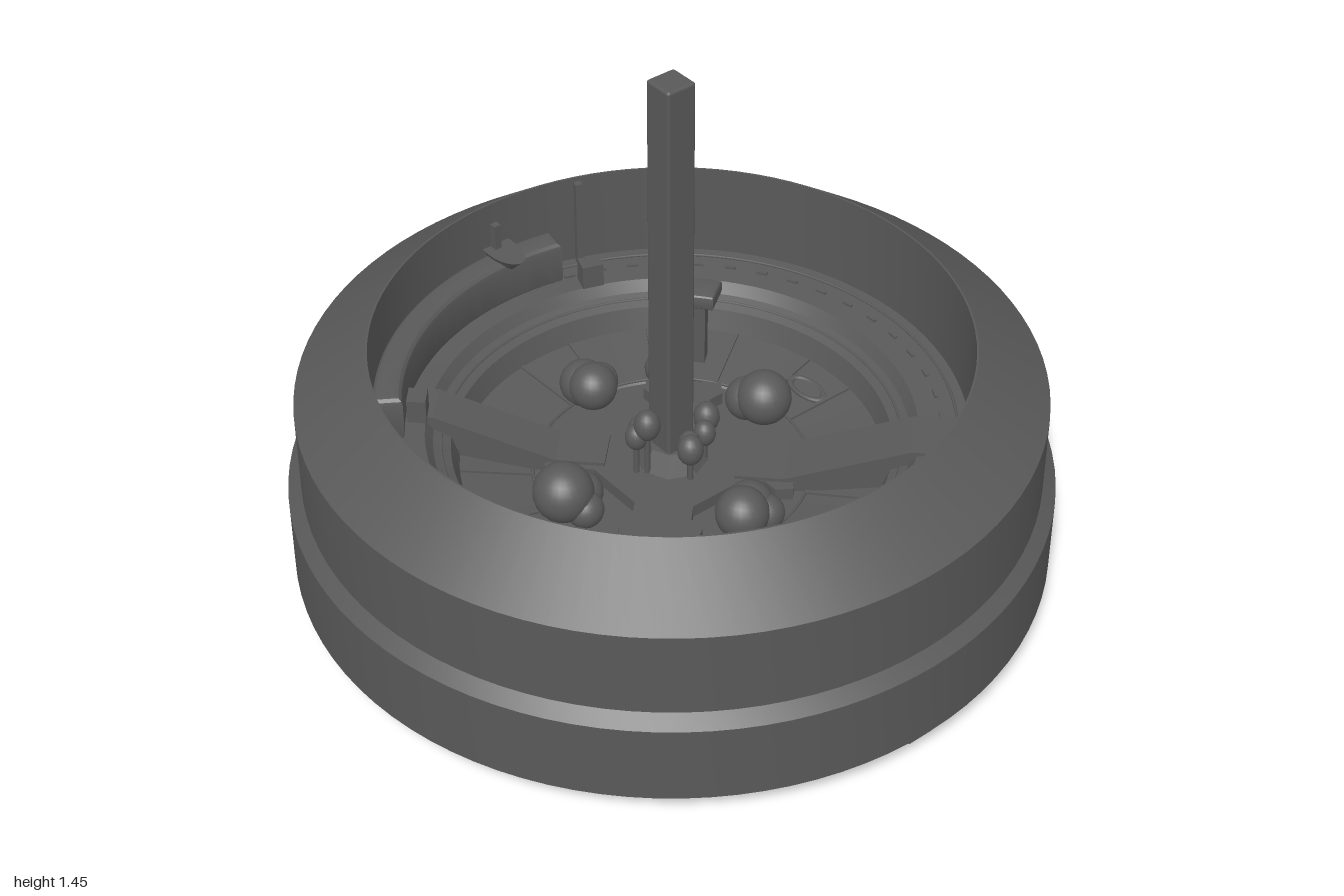
import * as THREE from 'three';
import { RoundedBoxGeometry } from 'three/addons/geometries/RoundedBoxGeometry.js';
import { toCreasedNormals } from 'three/addons/utils/BufferGeometryUtils.js';

const material = new THREE.MeshStandardMaterial({ color: 0x595959 });
const DEG = Math.PI / 180;

export function createModel() {
  const model = new THREE.Group();

  const add = (name, geometry, x = 0, y = 0, z = 0, rotY = 0) => {
    const mesh = new THREE.Mesh(geometry, material);
    mesh.name = name;
    mesh.position.set(x, y, z);
    mesh.rotation.y = rotY;
    model.add(mesh);
    return mesh;
  };

  // Place a part at a radius and angle (0 = +x, 90 = -z)
  const addAround = (name, geometry, r, deg, y) =>
    add(name, geometry, r * Math.cos(deg * DEG), y, -r * Math.sin(deg * DEG), deg * DEG);

  const polygon = (points) => new THREE.Shape(points.map(([x, y]) => new THREE.Vector2(x, y)));

  // Curved block between two radii and two angles
  const arcBlock = (name, r0, r1, a0, a1, y0, y1, bevel = 0) => {
    const s = new THREE.Shape();
    s.absarc(0, 0, r1, a0 * DEG, a1 * DEG, false);
    s.absarc(0, 0, r0, a1 * DEG, a0 * DEG, true);
    const g = new THREE.ExtrudeGeometry(s, {
      depth: y1 - y0, curveSegments: 24, bevelEnabled: bevel > 0,
      bevelSize: bevel, bevelThickness: bevel, bevelOffset: -bevel, bevelSegments: 3,
    });
    g.rotateX(-Math.PI / 2);
    return add(name, toCreasedNormals(g, 0.5), 0, y0, 0);
  };

  // Outer hull, inner wall and stepped floor in one closed profile
  const profile = [
    [0, 0.038], [0.962, 0.038], [0.965, 0.075], [1, 0.075], [1, 0.295],
    [0.965, 0.325], [0.965, 0.56], [0.775, 0.7], [0.77, 0.7],
    [0.77, 0.43], [0.64, 0.42], [0.62, 0.39], [0.575, 0.37], [0.555, 0.31],
    [0.37, 0.28], [0.36, 0.27], [0, 0.27],
  ].map(([r, y]) => new THREE.Vector2(r, y));
  add('hull', toCreasedNormals(new THREE.LatheGeometry(profile, 96), 0.35));

  // Slim raised lips on the floor rings
  for (const [r, y] of [[0.74, 0.43], [0.6, 0.38], [0.365, 0.28]]) {
    const g = new THREE.TorusGeometry(r, 0.004, 6, 96);
    g.rotateX(Math.PI / 2);
    add('floorRing', g, 0, y, 0);
  }

  // Floor spokes, four in each quarter
  for (let q = 0; q < 4; q++) {
    for (const d of [8.5, 32, 58, 81.5]) {
      const spoke = addAround('floorSpoke', new THREE.BoxGeometry(0.19, 0.01, 0.01), 0.46, q * 90 + d, 0.296);
      spoke.rotation.order = 'YXZ';
      spoke.rotation.z = 0.16;
    }
  }

  // Small studs around the ledge
  for (let i = 0; i < 48; i++) {
    addAround('ledgeStud', new THREE.BoxGeometry(0.01, 0.01, 0.03), 0.7, i * 7.5, 0.426);
  }

  // Two ramps running down from the ledge to the middle
  for (const [a, width] of [[135, 0.12], [-45, 0.15]]) {
    const s = polygon([[0.17, 0.27], [0.765, 0.3], [0.765, 0.437], [0.62, 0.43], [0.3, 0.315], [0.17, 0.315]]);
    const g = new THREE.ExtrudeGeometry(s, { depth: width, bevelEnabled: false });
    g.translate(0, 0, -width / 2);
    add('ramp', g, 0, 0, 0, a * DEG);
  }

  // Central platform with a bay cut towards each ball cluster
  const outline = [];
  for (let q = 0; q < 4; q++) {
    for (const [r, d] of [[0.21, -24], [0.21, 24], [0.26, 28], [0.3, 24], [0.34, 28], [0.34, 62], [0.3, 66], [0.26, 62]]) {
      const a = (q * 90 + d) * DEG;
      outline.push([Math.cos(a) * r, Math.sin(a) * r]);
    }
  }
  const platform = new THREE.ExtrudeGeometry(polygon(outline), { depth: 0.035, bevelEnabled: false });
  platform.rotateX(-Math.PI / 2);
  add('centralPlatform', platform, 0, 0.27, 0);
  add('pedestal', toCreasedNormals(new THREE.CylinderGeometry(0.065, 0.1, 0.06, 8), 0.3), 0, 0.33, 0);

  // Tall central post
  add('post', new RoundedBoxGeometry(0.086, 1.165, 0.086, 2, 0.008), -0.003, 0.8725, 0);

  // Four clusters of balls around the platform: x, y, z, radius
  for (const [x, y, z, r] of [
    [0, 0.32, -0.38, 0.065], [-0.005, 0.34, -0.33, 0.065], [0.04, 0.32, -0.36, 0.05],
    [0.3, 0.32, -0.05, 0.06], [0.32, 0.34, -0.005, 0.075], [0.35, 0.31, -0.03, 0.05],
    [-0.03, 0.34, 0.32, 0.07], [0.02, 0.32, 0.29, 0.065], [0.04, 0.31, 0.33, 0.05],
    [-0.34, 0.35, -0.02, 0.08], [-0.28, 0.32, -0.02, 0.055], [-0.31, 0.31, 0.03, 0.05],
  ]) add('ball', new THREE.SphereGeometry(r, 24, 16), x, y, z);

  // Small pods on stalks around the post: x, y, z, radius
  for (const [x, y, z, r] of [
    [0.05, 0.5, -0.12, 0.035], [0.08, 0.46, -0.11, 0.028], [0.1, 0.4, 0.02, 0.035],
    [0.06, 0.39, 0.06, 0.03], [-0.02, 0.4, 0.1, 0.035], [0.01, 0.38, 0.06, 0.03],
    [-0.09, 0.46, 0.01, 0.035], [-0.11, 0.42, -0.01, 0.03], [-0.06, 0.39, -0.06, 0.03],
  ]) {
    add('pod', new THREE.SphereGeometry(r, 16, 12), x, y, z).scale.y = 1.25;
    add('podStalk', new THREE.CylinderGeometry(0.008, 0.008, y - 0.28, 8), x, (y + 0.28) / 2, z);
  }

  // Tall curved console on the ledge with control boxes
  arcBlock('wallConsole', 0.69, 0.768, 77, 147, 0.435, 0.53, 0.02);
  for (const [r, a] of [[0.66, 139], [0.66, 71]]) {
    addAround('controlBox', new THREE.BoxGeometry(0.05, 0.07, 0.06), r, a, 0.455);
  }

  // Half-cone bracket on the back wall and two slim wall rods
  const bracket = new THREE.CylinderGeometry(0.045, 0.02, 0.05, 20);
  bracket.scale(1, 1, 2);
  add('wallBracket', bracket, 0, 0.54, -0.74);
  for (const [a, y0, y1] of [[90.5, 0.52, 0.64], [71, 0.4, 0.69]]) {
    addAround('wallRod', new THREE.BoxGeometry(0.02, y1 - y0, 0.02), 0.755, a, (y0 + y1) / 2);
  }

  // Curved desk on a support
  arcBlock('desk', 0.4, 0.49, 35, 54, 0.5, 0.525, 0.01);
  arcBlock('deskSupport', 0.43, 0.47, 39, 50, 0.28, 0.5);

  // Slotted hatch on the floor at the left side
  const hatch = new THREE.TorusGeometry(0.03, 0.006, 8, 24);
  hatch.rotateX(Math.PI / 2);
  hatch.scale(1, 1, 2);
  add('floorHatch', hatch, 0.47, 0.298, 0);

  // Round plate standing at the inner edge of the ledge
  const plate = new THREE.CylinderGeometry(0.1, 0.1, 0.015, 32);
  plate.rotateZ(Math.PI / 2);
  addAround('roundPlate', plate, 0.64, 248, 0.4);

  // Tabs under the outer band
  for (const [a, w] of [[0, 0.09], [45, 0.035], [90, 0.09], [180, 0.09], [270, 0.09]]) {
    const s = polygon([[-w, 0.078], [-w * 0.4, 0.031], [w * 0.4, 0.031], [w, 0.078]]);
    const g = new THREE.ExtrudeGeometry(s, { depth: 0.07, bevelEnabled: false });
    g.translate(0, 0, 0.9);
    add('undersideTab', g, 0, 0, 0, a * DEG);
  }

  // Four short pegs it stands on
  for (let i = 0; i < 4; i++) {
    addAround('peg', new THREE.CylinderGeometry(0.014, 0.014, 0.04, 12), 0.165, i * 90, 0.02);
  }

  return model;
}
